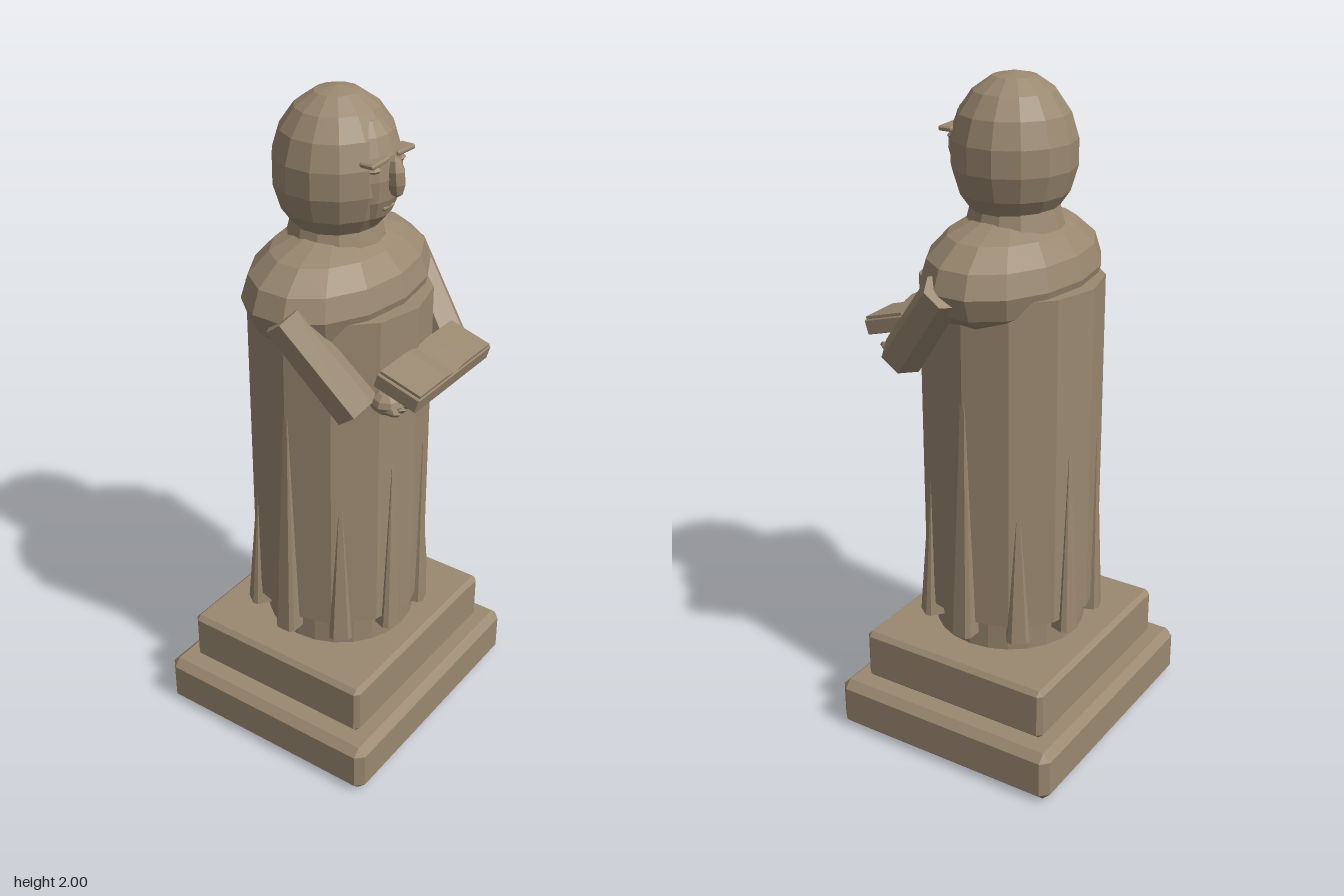
import * as THREE from 'three';
import { ConvexGeometry } from 'three/addons/geometries/ConvexGeometry.js';

const stone = new THREE.MeshStandardMaterial({ color: 0x9a8870, flatShading: true });
stone.name = 'stone';

export function createModel() {
  const model = new THREE.Group();
  model.name = 'statue';

  function add(name, geometry, x = 0, y = 0, z = 0, parent = model) {
    const mesh = new THREE.Mesh(geometry, stone);
    mesh.name = name;
    mesh.position.set(x, y, z);
    parent.add(mesh);
    return mesh;
  }

  // Box with every edge and corner cut by b
  function chamferBox(w, h, d, b) {
    const points = [];
    const [X, Y, Z] = [w / 2, h / 2, d / 2];
    for (const i of [-1, 1]) for (const j of [-1, 1]) for (const k of [-1, 1]) {
      points.push(
        new THREE.Vector3(i * X, j * (Y - b), k * (Z - b)),
        new THREE.Vector3(i * (X - b), j * Y, k * (Z - b)),
        new THREE.Vector3(i * (X - b), j * (Y - b), k * Z));
    }
    return new ConvexGeometry(points);
  }

  // Faceted ellipsoid, with a vertex line facing the front
  function ellipsoid(rx, ry, rz, sides, rings) {
    return new THREE.SphereGeometry(1, sides, rings).rotateY(Math.PI / 2).scale(rx, ry, rz);
  }

  // Stepped plinth
  add('lowerPlinth', chamferBox(0.83, 0.16, 0.745, 0.024), 0, 0.08, -0.012);
  add('upperPlinth', chamferBox(0.695, 0.16, 0.625, 0.014), 0, 0.24, -0.012);

  // Robe
  add('underskirt', new THREE.CylinderGeometry(0.23, 0.23, 0.14, 24), 0, 0.38, -0.005);
  add('robe', new THREE.CylinderGeometry(0.265, 0.265, 1.01, 12), 0, 0.925, -0.01);

  // Pleats: wedges that swell out of the robe towards the hem
  const pleatTops = [0.95, 0.85, 1.25, 0.8, 0.95];
  for (let i = 0; i < 10; i++) {
    const angle = THREE.MathUtils.degToRad(18 + 36 * i);
    const top = pleatTops[i < 5 ? i : 9 - i];
    const side = Math.abs(Math.sin(angle));
    const outer = 0.272 + 0.024 * side;
    const points = [];
    for (const s of [-1, 1]) {
      points.push(
        new THREE.Vector3(s * 0.034, 0.38, outer - 0.055),
        new THREE.Vector3(s * 0.034, 0.38, outer - 0.012),
        new THREE.Vector3(s * 0.022, 0.38, outer),
        new THREE.Vector3(s * 0.004, top, 0.258),
        new THREE.Vector3(s * 0.004, top, 0.235));
    }
    add('pleat', new ConvexGeometry(points), 0, 0, -0.01).rotation.y = angle;
  }

  // Shoulder cape and hooded head
  add('shoulderCape', ellipsoid(0.332, 0.172, 0.226, 14, 8), 0, 1.45, -0.013);
  add('neck', new THREE.CylinderGeometry(0.125, 0.14, 0.06, 14), 0, 1.61, -0.02);
  add('hood', ellipsoid(0.185, 0.217, 0.178, 14, 9), 0, 1.783, -0.017);

  // Face
  const face = new THREE.Group();
  face.name = 'face';
  model.add(face);
  add('facePlate', ellipsoid(0.11, 0.158, 0.09, 12, 8), 0, 1.785, 0.08, face);
  const nose = add('nose', ellipsoid(0.026, 0.056, 0.03, 6, 5), 0, 1.787, 0.172, face);
  nose.rotation.x = -0.08;
  for (const s of [-1, 1]) {
    const brow = add('brow', chamferBox(0.08, 0.014, 0.045, 0.004), s * 0.06, 1.842, 0.145, face);
    brow.rotation.z = s * -0.04;
    add('eye', ellipsoid(0.024, 0.01, 0.018, 8, 4), s * 0.057, 1.818, 0.142, face);
  }
  add('mouth', chamferBox(0.05, 0.012, 0.02, 0.004), 0, 1.7, 0.145, face);

  // Sleeves and hands
  const up = new THREE.Vector3(0, 1, 0);
  for (const s of [-1, 1]) {
    const shoulder = new THREE.Vector3(s * 0.298, 1.455, 0.02);
    const wrist = new THREE.Vector3(s * 0.232, 1.21, 0.213);
    const direction = shoulder.clone().sub(wrist);
    const sleeve = add('sleeve', new THREE.CylinderGeometry(0.06, 0.066, direction.length(), 6));
    sleeve.position.copy(shoulder).add(wrist).multiplyScalar(0.5);
    sleeve.quaternion.setFromUnitVectors(up, direction.normalize());
    add('hand', ellipsoid(0.045, 0.034, 0.05, 8, 6), s * 0.165, 1.217, 0.265);
    for (let i = 0; i < 3; i++) {
      add('finger', ellipsoid(0.014, 0.014, 0.03, 6, 4), s * (0.135 + 0.027 * i), 1.208, 0.295);
    }
  }

  // Open book, tilted towards the front, its pages dipping to the spine
  const book = new THREE.Group();
  book.name = 'book';
  book.position.set(0, 1.268, 0.308);
  book.rotation.x = 0.28;
  model.add(book);
  add('bookCover', chamferBox(0.376, 0.045, 0.14, 0.003), 0, 0, 0, book);
  for (const s of [-1, 1]) {
    const points = [];
    for (const z of [-0.066, 0.066]) {
      points.push(
        new THREE.Vector3(s * 0.003, 0.02, z), new THREE.Vector3(s * 0.18, 0.02, z),
        new THREE.Vector3(s * 0.012, 0.025, z), new THREE.Vector3(s * 0.05, 0.033, z),
        new THREE.Vector3(s * 0.18, 0.031, z));
    }
    add('pages', new ConvexGeometry(points), 0, 0, 0, book);
  }

  return model;
}
